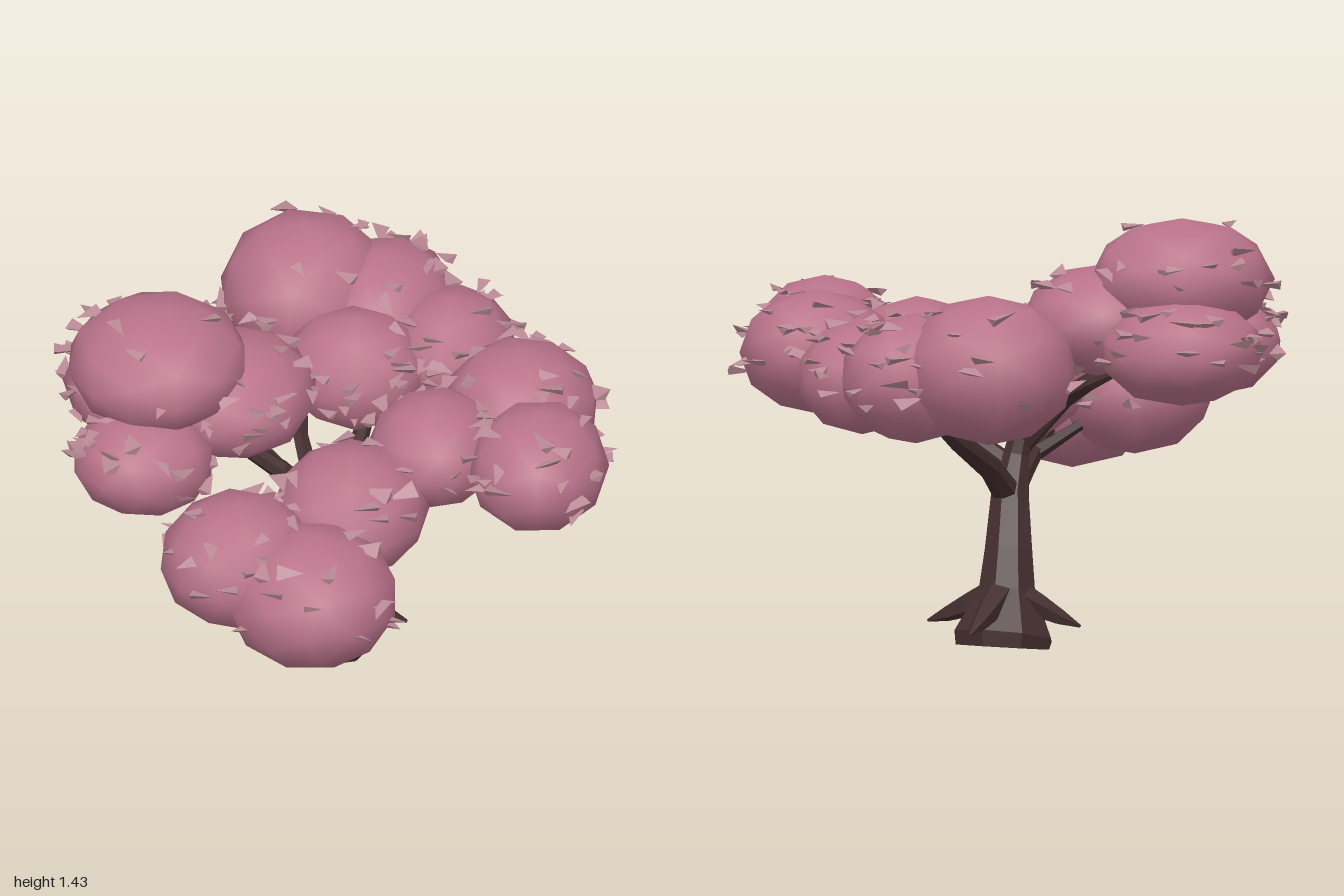
import * as THREE from 'three';
import { mergeGeometries } from 'three/addons/utils/BufferGeometryUtils.js';

const bark = new THREE.MeshStandardMaterial({ color: 0x432d2d, flatShading: true, side: THREE.DoubleSide });
bark.name = 'dark bark';
const blossom = new THREE.MeshStandardMaterial({ color: 0xb9738a });
blossom.name = 'pink blossom';
const petal = new THREE.MeshStandardMaterial({ color: 0xb98a96, flatShading: true });
petal.name = 'pale petal';

let seed = 7;
const rand = () => (seed = (seed * 16807) % 2147483647) / 2147483647;

// Tapered limb, open at its foot, through rows of [x, y, z, radius]
function limb(name, rows, sides = 7) {
  const up = new THREE.Vector3(0, 1, 0), pos = [], idx = [];
  const pts = rows.map(r => new THREE.Vector3(r[0], r[1], r[2]));
  const last = rows.length - 1;
  pts.forEach((p, i) => {
    const dir = pts[Math.min(i + 1, last)].clone().sub(pts[Math.max(i - 1, 0)]).normalize();
    const q = new THREE.Quaternion().setFromUnitVectors(up, dir);
    for (let j = 0; j < sides; j++) {
      const a = j / sides * Math.PI * 2;
      const v = new THREE.Vector3(Math.cos(a), 0, Math.sin(a)).multiplyScalar(rows[i][3]);
      pos.push(...v.applyQuaternion(q).add(p).toArray());
    }
  });
  pos.push(...pts[last].toArray());
  for (let j = 0; j < sides; j++) {
    const k = (j + 1) % sides;
    for (let i = 0; i < last; i++) {
      const a = i * sides, b = a + sides;
      idx.push(a + j, b + j, a + k, a + k, b + j, b + k);
    }
    idx.push(rows.length * sides, last * sides + k, last * sides + j);
  }
  const g = new THREE.BufferGeometry();
  g.setAttribute('position', new THREE.Float32BufferAttribute(pos, 3));
  g.setIndex(idx);
  g.computeVertexNormals();
  const mesh = new THREE.Mesh(g, bark);
  mesh.name = name;
  return mesh;
}

// Blossom clumps: centre, radii, number of loose petals
const clumps = [
  // back group
  [-0.26, 1.03, -0.70, 0.28, 0.24, 0.285, 18],
  [0.00, 0.99, -0.70, 0.24, 0.21, 0.27, 30],
  [0.26, 0.96, -0.55, 0.205, 0.185, 0.235, 34],
  [-0.03, 0.95, -0.38, 0.24, 0.19, 0.22, 34],
  // left group
  [0.56, 0.985, -0.23, 0.25, 0.20, 0.25, 34],
  [0.69, 0.98, 0.12, 0.225, 0.20, 0.25, 36],
  [0.33, 0.96, 0.05, 0.215, 0.18, 0.23, 28],
  // front group
  [0.10, 0.85, 0.30, 0.25, 0.20, 0.27, 28],
  [-0.21, 0.80, 0.60, 0.255, 0.21, 0.265, 30],
  [0.05, 0.745, 0.68, 0.28, 0.225, 0.275, 34],
  // right group
  [-0.575, 1.24, 0.155, 0.295, 0.195, 0.30, 18],
  [-0.66, 1.03, -0.04, 0.265, 0.175, 0.275, 32],
  [-0.33, 1.10, 0.07, 0.255, 0.18, 0.285, 28],
  [-0.58, 1.00, 0.38, 0.23, 0.17, 0.215, 28],
];

const inside = (p, c) =>
  ((p.x - c[0]) / c[3]) ** 2 + ((p.y - c[1]) / c[4]) ** 2 + ((p.z - c[2]) / c[5]) ** 2 < 1;

export function createModel() {
  const tree = new THREE.Group();
  tree.name = 'tree';

  // Leaning trunk with flared foot
  const wood = new THREE.Group();
  wood.name = 'wood';
  tree.add(wood);
  wood.add(limb('trunk', [
    [-0.075, 0.035, -0.17, 0.165], [-0.075, 0.07, -0.165, 0.172], [-0.072, 0.21, -0.125, 0.1],
    [-0.06, 0.34, -0.085, 0.084], [-0.03, 0.52, -0.005, 0.066], [-0.03, 0.64, 0.045, 0.046],
    [-0.05, 0.77, 0.07, 0.036],
  ], 8));

  // Branches
  wood.add(
    limb('rightBranch', [[-0.04, 0.68, 0.06, 0.042], [-0.18, 0.83, 0.09, 0.034], [-0.36, 0.95, 0.1, 0.024], [-0.52, 1.03, 0.13, 0.006]]),
    limb('rightTwig', [[-0.18, 0.83, 0.09, 0.03], [-0.33, 0.9, -0.02, 0.02], [-0.5, 0.98, -0.05, 0.006]], 5),
    limb('frontBranch', [[-0.03, 0.51, -0.01, 0.045], [0.0, 0.57, 0.17, 0.036], [0.02, 0.65, 0.36, 0.028], [0.03, 0.73, 0.6, 0.008]]),
    limb('frontTwig', [[0.01, 0.61, 0.27, 0.028], [-0.1, 0.7, 0.42, 0.018], [-0.2, 0.77, 0.55, 0.006]], 5),
    limb('backBranch', [[-0.03, 0.51, -0.01, 0.05], [-0.02, 0.62, -0.14, 0.04], [0.0, 0.73, -0.36, 0.028], [0.02, 0.86, -0.6, 0.008]]),
    limb('backTwig', [[-0.07, 0.72, 0.06, 0.032], [-0.15, 0.86, -0.08, 0.026], [-0.18, 0.97, -0.3, 0.006]], 5),
    limb('leftBranch', [[-0.02, 0.6, 0.03, 0.038], [0.15, 0.7, 0.05, 0.03], [0.33, 0.78, 0.03, 0.024], [0.55, 0.93, 0, 0.008]]),
  );

  // Pointed roots around the foot
  for (const [deg, len] of [[88, 0.25], [-8, 0.26], [-92, 0.3], [172, 0.26]]) {
    const a = deg * Math.PI / 180, c = Math.cos(a), s = Math.sin(a);
    const at = (t, y, r) => [-0.072 + c * t * len, y, -0.15 + s * t * len, r];
    wood.add(limb('root', [at(0.05, 0.22, 0.055), at(0.45, 0.17, 0.042), at(0.75, 0.135, 0.026), at(1, 0.11, 0.005)], 5));
  }

  // Coarse blossom clumps with pointed petals hovering over them
  const crown = new THREE.Group();
  crown.name = 'crown';
  tree.add(crown);
  const chip = new THREE.ConeGeometry(0.034, 0.09, 3).rotateX(Math.PI / 2);
  const chips = [];
  clumps.forEach((c, n) => {
    const ball = new THREE.IcosahedronGeometry(1.03, 1).rotateY(n * 1.3);
    const clump = new THREE.Mesh(ball.scale(c[3], c[4], c[5]), blossom);
    clump.name = 'blossomClump';
    clump.position.set(c[0], c[1], c[2]);
    crown.add(clump);

    for (let i = 0; i < c[6]; i++) {
      const h = -0.35 + rand() * 1.25, a = rand() * Math.PI * 2;
      const out = 1 + rand() * 0.07, w = Math.sqrt(1 - h * h) * out;
      const p = new THREE.Vector3(c[0] + Math.cos(a) * w * c[3], c[1] + h * c[4] * out, c[2] + Math.sin(a) * w * c[5]);
      const tilt = new THREE.Euler((rand() - 0.5) * 0.8, rand() * 6.28, (rand() - 0.5) * 0.8);
      const size = 0.7 + rand() * 0.4;
      if (clumps.some(o => o !== c && inside(p, o))) continue;
      const m = new THREE.Matrix4().compose(p, new THREE.Quaternion().setFromEuler(tilt),
        new THREE.Vector3(size, size * 0.5, size));
      chips.push(chip.clone().applyMatrix4(m));
    }
  });
  const petals = new THREE.Mesh(mergeGeometries(chips), petal);
  petals.name = 'loosePetals';
  crown.add(petals);
  return tree;
}
